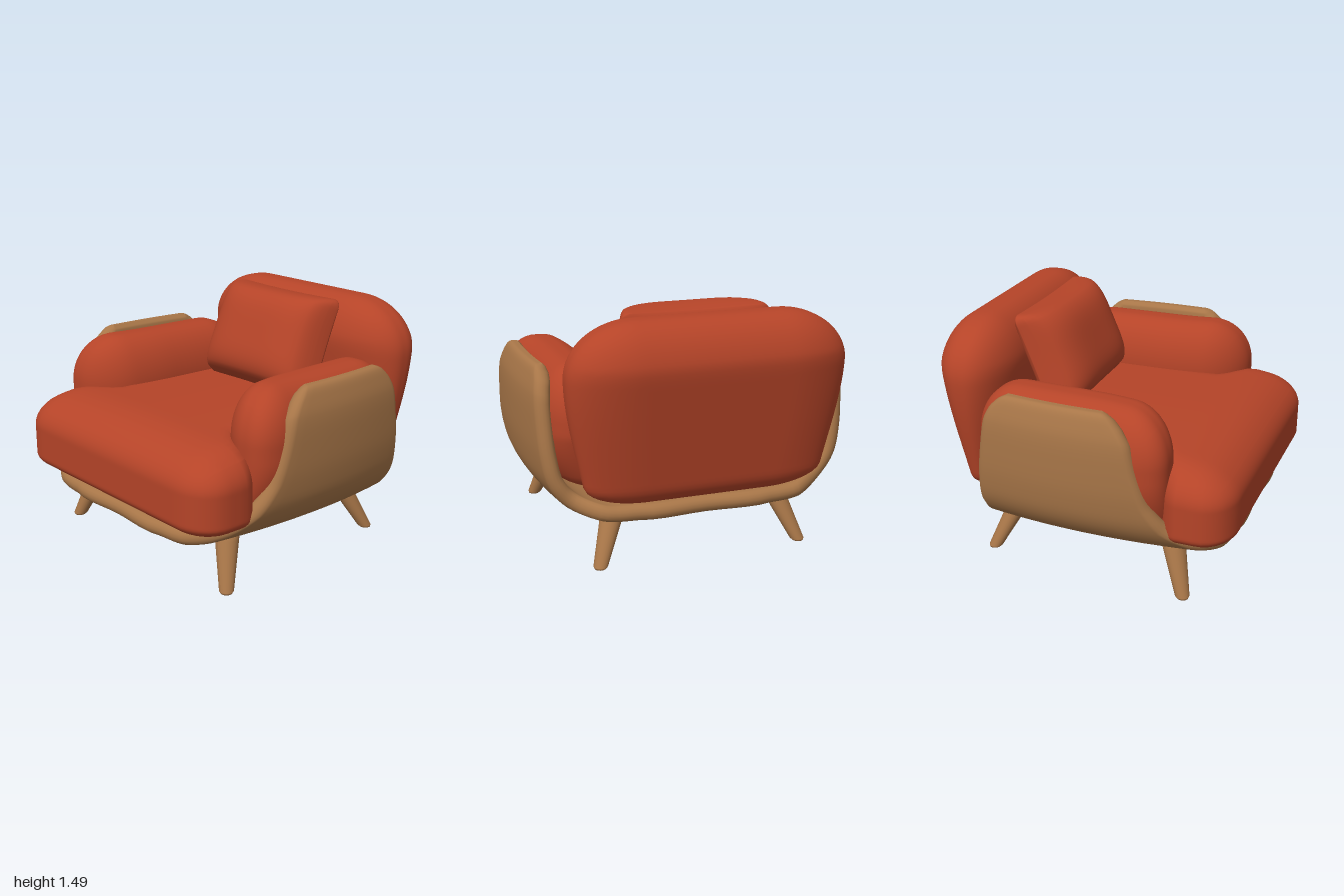
import * as THREE from 'three';
import { mergeVertices } from 'three/addons/utils/BufferGeometryUtils.js';

const red = new THREE.MeshStandardMaterial({ color: 0xb54428 });
red.name = 'red fabric';
const wood = new THREE.MeshStandardMaterial({ color: 0xa87648 });
wood.name = 'light wood';

const { lerp, clamp, smoothstep } = THREE.MathUtils;

// Rounded block: half sizes h, corner radii r = [x, yTop, yBottom, z], then a bending rule
function cushion(name, h, r, bend) {
  let geo = new THREE.BoxGeometry(2 * h[0], 2 * h[1], 2 * h[2], 36, 36, 30);
  geo.deleteAttribute('normal');
  geo.deleteAttribute('uv');
  geo = mergeVertices(geo, 1e-4);
  const pos = geo.attributes.position;
  const v = new THREE.Vector3();
  const half = new THREE.Vector3(...h);
  const core = new THREE.Vector3();
  for (let i = 0; i < pos.count; i++) {
    v.fromBufferAttribute(pos, i);
    const rad = new THREE.Vector3(r[0], v.y > 0 ? r[1] : r[2], r[3]);
    const limit = half.clone().sub(rad);
    core.copy(v).clamp(limit.clone().negate(), limit);
    v.sub(core).divide(rad).normalize().multiply(rad).add(core);
    bend(v);
    pos.setXYZ(i, v.x, v.y, v.z);
  }
  geo.computeVertexNormals();
  const mesh = new THREE.Mesh(geo, red);
  mesh.name = name;
  return mesh;
}

// Bent wooden shell: a rounded strip swept along a U, its front and back edges varying with height
function shell() {
  // centre x, centre y, front z, back z, thickness
  const half = [
    [0, 0.34, 0.88, -0.72, 0.1], [0.45, 0.34, 0.88, -0.72, 0.1], [0.66, 0.35, 0.86, -0.7, 0.1],
    [0.82, 0.41, 0.76, -0.6, 0.1], [0.91, 0.52, 0.6, -0.58, 0.1], [0.945, 0.67, 0.5, -0.565, 0.1],
    [0.955, 0.85, 0.44, -0.54, 0.1], [0.95, 1.02, 0.395, -0.51, 0.1], [0.93, 1.1, 0.34, -0.47, 0.1],
    [0.915, 1.15, 0.29, -0.42, 0.09], [0.905, 1.173, 0.25, -0.38, 0.06], [0.9, 1.185, 0.22, -0.36, 0],
  ];
  const rows = [...half.slice(1).reverse().map(([x, ...rest]) => [-x, ...rest]), ...half];
  const path = new THREE.CatmullRomCurve3(rows.map((s) => new THREE.Vector3(s[0], s[1], 0)));
  const span = new THREE.CatmullRomCurve3(rows.map((s) => new THREE.Vector3(s[2], s[3], s[4])));
  const nu = 110, arc = 8, flat = 14;
  const loop = []; // [position from back to front, end offset, normal offset]
  for (let i = 0; i <= arc; i++) {
    const a = -Math.PI / 2 + (Math.PI * i) / arc;
    loop.push([1, Math.cos(a), Math.sin(a)]);
  }
  for (let i = 1; i < flat; i++) loop.push([1 - i / flat, 0, 1]);
  for (let i = 0; i <= arc; i++) {
    const a = Math.PI / 2 + (Math.PI * i) / arc;
    loop.push([0, Math.cos(a), Math.sin(a)]);
  }
  for (let i = 1; i < flat; i++) loop.push([i / flat, 0, -1]);
  const n = loop.length, verts = [], index = [];
  for (let i = 0; i <= nu; i++) {
    const p = path.getPoint(i / nu), t = path.getTangent(i / nu), s = span.getPoint(i / nu);
    const e = Math.max(s.z, 0) / 2;
    for (const [k, dz, dn] of loop) {
      const z = lerp(s.y + e, s.x - e, k) + dz * e;
      const bow = 1 - 0.15 * (z - 0.1) ** 2;
      verts.push((p.x - t.y * dn * e) * bow, p.y + t.x * dn * e, z);
    }
  }
  for (let i = 0; i < nu; i++) {
    for (let j = 0; j < n; j++) {
      const a = i * n + j, c = i * n + ((j + 1) % n);
      index.push(a, a + n, c, a + n, c + n, c);
    }
  }
  const geo = new THREE.BufferGeometry();
  geo.setAttribute('position', new THREE.Float32BufferAttribute(verts, 3));
  geo.setIndex(index);
  geo.computeVertexNormals();
  const mesh = new THREE.Mesh(geo, wood);
  mesh.name = 'woodenShell';
  return mesh;
}

// Splayed tapered leg with a level foot
function leg(name, top, foot) {
  const pts = [[0, 0], [0.034, 0], [0.043, 0.012], [0.07, 0.28], [0.074, 0.33], [0, 0.33]];
  const geo = new THREE.LatheGeometry(pts.map((p) => new THREE.Vector2(...p)), 24);
  const pos = geo.attributes.position;
  for (let i = 0; i < pos.count; i++) {
    const k = pos.getY(i) / 0.3;
    pos.setX(i, pos.getX(i) + lerp(foot[0], top[0], k));
    pos.setZ(i, pos.getZ(i) + lerp(foot[1], top[1], k));
  }
  geo.computeVertexNormals();
  const mesh = new THREE.Mesh(geo, wood);
  mesh.name = name;
  return mesh;
}

export function createModel() {
  const chair = new THREE.Group();
  chair.name = 'armchair';
  chair.add(shell());

  // Seat: wide rounded front, narrower between the arms
  chair.add(cushion('seat', [0.905, 0.24, 0.775], [0.24, 0.2, 0.09, 0.2], (v) => {
    v.z += 0.175;
    v.x *= lerp(0.74, 1, smoothstep(v.z, 0.42, 0.62));
    if (v.y > 0) {
      v.y += (v.y / 0.24) * 0.018 * (1 - (v.x / 0.9) ** 2);
      v.y -= (v.y / 0.24) * 0.05 * smoothstep(v.z, 0.6, 0.95);
    }
    v.y += 0.635;
  }));

  // Backrest: thick round top, tapering and leaning towards the base
  chair.add(cushion('backrest', [0.83, 0.54, 0.24], [0.4, 0.32, 0.12, 0.22], (v) => {
    v.y += 0.945;
    const t = clamp((v.y - 0.4) / 0.85, 0, 1);
    v.x *= lerp(0.82, 1, smoothstep(t, -0.3, 0.9));
    v.z = v.z * lerp(0.45, 1, t) + lerp(-0.675, -0.71, t);
  }));

  for (const s of [1, -1]) {
    const side = s > 0 ? 'left' : 'right';
    // Arm pad: swings outward at the front, tucks into the shell below
    chair.add(cushion(side + 'Arm', [0.222, 0.39, 0.6], [0.2, 0.3, 0.12, 0.26], (v) => {
      let x = s * v.x + 0.7;
      v.y += 0.79;
      v.z -= 0.02;
      x += v.z > 0 ? 0.3 * v.z * v.z : 0.03 * v.z;
      const low = clamp((0.8 - v.y) / 0.4, 0, 1);
      x -= 0.17 * low * low;
      if (v.z < 0) v.z += 0.1 * low;
      v.x = s * x;
    }));
    chair.add(leg(side + 'FrontLeg', [s * 0.635, 0.55], [s * 0.745, 0.65]));
    chair.add(leg(side + 'BackLeg', [s * 0.51, -0.5], [s * 0.63, -0.635]));
  }

  // Loose pillow: thin edges, full front, leaning on the backrest
  const pillow = cushion('pillow', [0.465, 0.33, 0.1], [0.06, 0.06, 0.06, 0.1], (v) => {
    const a = clamp(Math.abs(v.x) / 0.465, 0, 1), b = clamp(Math.abs(v.y) / 0.33, 0, 1);
    const puff = 0.1 + 0.9 * Math.sqrt((1 - a ** 4) * (1 - b ** 4));
    v.z *= puff * (v.z > 0 ? 2.4 : 0.8);
    v.x *= (1 - 0.03 * (1 - b * b)) * (1 - 0.06 * v.y);
    v.y *= 1 - 0.03 * (1 - a * a);
  });
  pillow.position.set(0, 1.17, -0.4);
  pillow.rotation.x = -0.4;
  chair.add(pillow);

  return chair;
}
